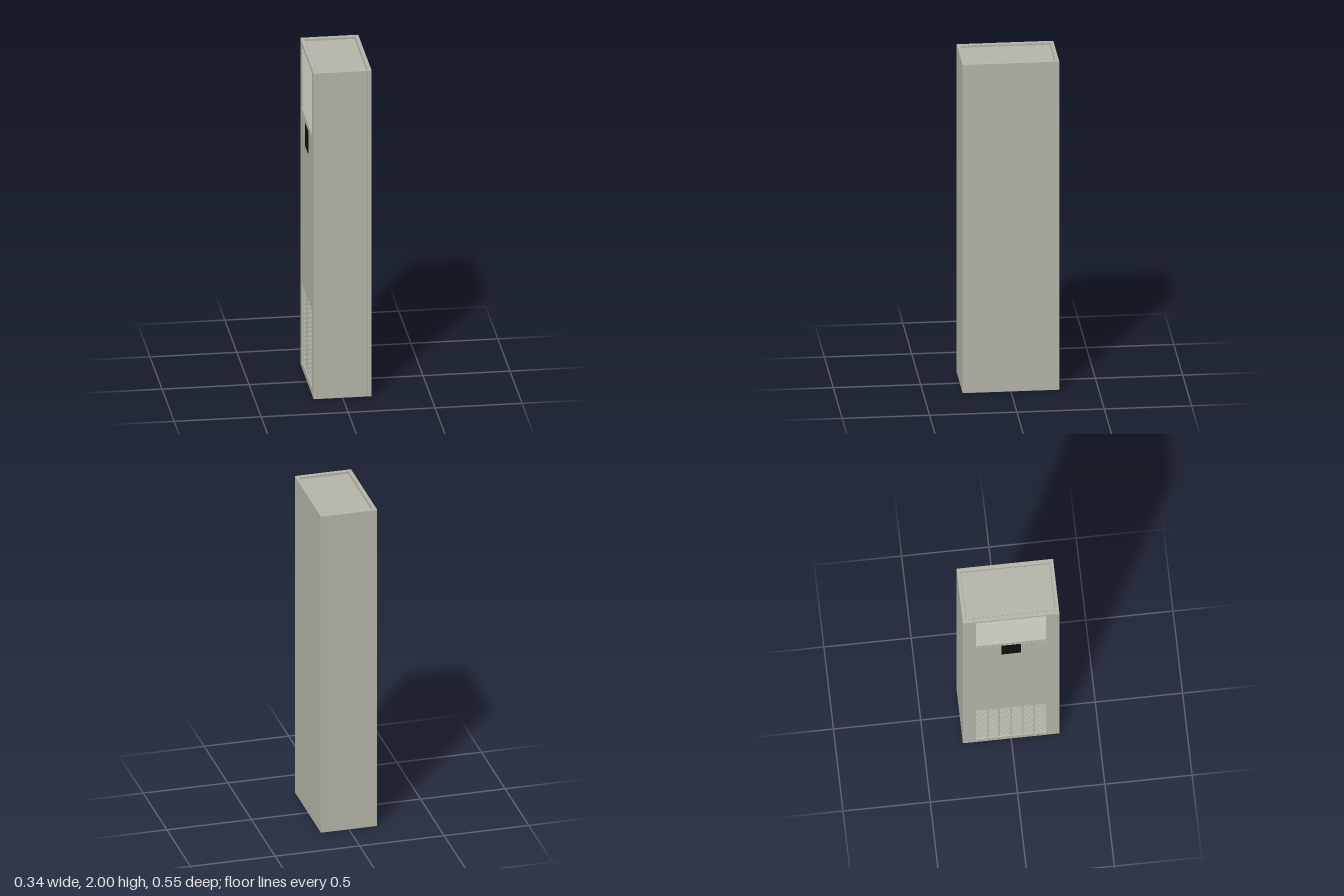
import * as THREE from 'three';
import { RoundedBoxGeometry } from 'three/addons/geometries/RoundedBoxGeometry.js';

const W = 0.167, D = 0.277, H = 2, T = 0.022; // half width, half depth, height, board thickness
const SEAM = 0.212, OPEN = 0.2;               // half widths of the vented panels and their openings

export function createModel() {
  const group = new THREE.Group();
  const grey = new THREE.MeshStandardMaterial({ color: 0xb4b4a8 });
  const black = new THREE.MeshStandardMaterial({ color: 0x101010 });

  const add = (name, geometry, parent = group, material = grey) => {
    const mesh = new THREE.Mesh(geometry, material);
    mesh.name = name;
    parent.add(mesh);
    return mesh;
  };

  // Board with softened edges, given by its limits
  const board = (name, x0, x1, y0, y1, z0, z1) =>
    add(name, new RoundedBoxGeometry(x1 - x0, y1 - y0, z1 - z0, 2, 0.003))
      .position.set((x0 + x1) / 2, (y0 + y1) / 2, (z0 + z1) / 2);

  // Bar with square edges
  const bar = (name, parent, sx, sy, sz, x, y, z) => {
    const mesh = add(name, new THREE.BoxGeometry(sx, sy, sz), parent);
    mesh.position.set(x, y, z);
    return mesh;
  };

  const rect = (Type, half, y0, y1) => {
    const r = new Type();
    r.moveTo(-half, y0);
    r.lineTo(half, y0);
    r.lineTo(half, y1);
    r.lineTo(-half, y1);
    r.closePath();
    return r;
  };

  // Panel of the right wall with a rectangular opening
  const openPanel = (name, y0, y1, hole0, hole1) => {
    const shape = rect(THREE.Shape, SEAM, y0, y1);
    shape.holes.push(rect(THREE.Path, OPEN, hole0, hole1));
    const b = 0.002;
    const geometry = new THREE.ExtrudeGeometry(shape, {
      depth: T - 2 * b, bevelSize: b, bevelOffset: -b, bevelThickness: b, bevelSegments: 1,
    });
    geometry.rotateY(-Math.PI / 2);
    add(name, geometry).position.x = -W + T - b;
  };

  // Cabinet shell, open at the bottom
  board('leftWall', W - T, W, 0, H, -D, D);
  board('frontWall', -W + T, W - T, 0, H, D - T, D);
  board('backWall', -W + T, W - T, 0, H, -D, -D + T);
  board('topPanel', -W + T, W - T, H - 0.037, H - 0.015, -D + T, D - T);
  board('frontPost', -W, -W + T, 0, H, SEAM, D);
  board('backPost', -W, -W + T, 0, H, -D, -SEAM);

  // Vented right wall
  const split = 1.57, low0 = 0.045, low1 = 0.52, up0 = 1.595, up1 = 1.975;
  openPanel('lowerPanel', 0, split, low0, low1);
  openPanel('upperVentFrame', split, H, up0, up1);

  // Tilted louvres of the upper vent
  const louvres = new THREE.Group();
  louvres.name = 'upperLouvres';
  group.add(louvres);
  const count = 13, pitch = (up1 - up0) / count;
  for (let i = 0; i < count; i++) {
    const slat = bar('louvre', louvres, 0.026, 0.004, OPEN * 2, -W + T / 2, up0 + (i + 0.5) * pitch, 0);
    slat.rotation.z = Math.PI / 4;
  }

  // Grid of the lower vent
  const grille = new THREE.Group();
  grille.name = 'lowerGrille';
  group.add(grille);
  const rows = 17, columns = 6;
  for (let i = 1; i < rows; i++)
    bar('crossBar', grille, 0.01, 0.006, OPEN * 2, -W + T / 2, low0 + (low1 - low0) * i / rows, 0);
  for (let i = 1; i < columns; i++)
    bar('uprightBar', grille, 0.012, low1 - low0, 0.008, -W + T / 2, (low0 + low1) / 2, OPEN * (2 * i / columns - 1));

  // Dark control display
  add('display', new THREE.BoxGeometry(0.004, 0.14, 0.112), group, black).position.set(-W, 1.49, 0);

  return group;
}
